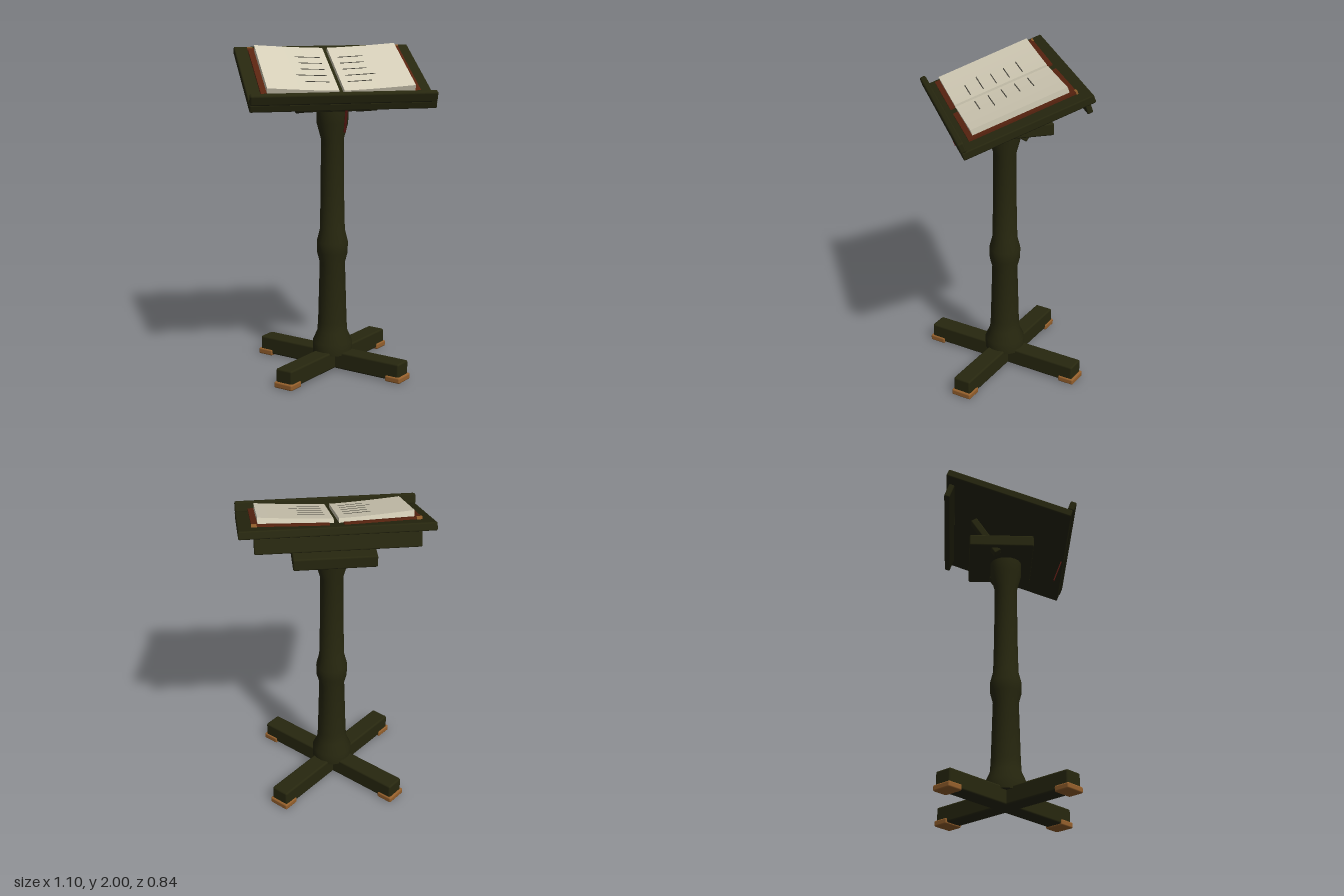
import * as THREE from 'three';
import { toCreasedNormals } from 'three/addons/utils/BufferGeometryUtils.js';
import { RoundedBoxGeometry } from 'three/addons/geometries/RoundedBoxGeometry.js';

const mat = (name, color) => {
  const m = new THREE.MeshStandardMaterial({ color });
  m.name = name;
  return m;
};

export function createModel() {
  const wood = mat('dark green wood', 0x27270f);
  const brass = mat('bronze', 0x95602c);
  const leather = mat('brown leather', 0x5a2410);
  const paper = mat('paper', 0xd6cfb9);
  const ink = mat('ink', 0x4a483f);
  const red = mat('ribbon red', 0x5e1a14);

  const model = new THREE.Group();
  const add = (parent, name, geometry, material, x = 0, y = 0, z = 0) => {
    const mesh = new THREE.Mesh(geometry, material);
    mesh.name = name;
    mesh.position.set(x, y, z);
    parent.add(mesh);
    return mesh;
  };
  const box = (w, h, d, r = 0.008) => new RoundedBoxGeometry(w, h, d, 2, r);

  // Diagonal cross base with foot caps
  const base = new THREE.Group();
  base.name = 'crossBase';
  base.rotation.y = Math.PI / 4;
  model.add(base);
  add(base, 'baseBarA', box(1.04, 0.11, 0.116, 0.012), wood, 0, 0.065, 0);
  add(base, 'baseBarB', box(0.116, 0.11, 1.04, 0.012), wood, 0, 0.065, 0);
  for (let i = 0; i < 4; i++) {
    const a = i * Math.PI / 2;
    const cap = add(base, 'footCap', box(0.105, 0.038, 0.132, 0.01), brass,
      0.48 * Math.cos(a), 0.019, 0.48 * Math.sin(a));
    cap.rotation.y = -a;
  }

  // Turned column
  const profile = [
    [0, 0.1], [0.124, 0.1], [0.124, 0.17], [0.095, 0.235], [0.09, 0.3], [0.079, 0.68],
    [0.095, 0.74], [0.097, 0.81], [0.078, 0.885], [0.073, 1.1], [0.07, 1.45],
    [0.097, 1.55], [0.098, 1.64], [0, 1.64],
  ].map(([r, y]) => new THREE.Vector2(r, y));
  add(model, 'column', toCreasedNormals(new THREE.LatheGeometry(profile, 20), 0.6), wood);

  // Head block and the two leaning struts through it
  add(model, 'headBlock', box(0.49, 0.075, 0.4, 0.01), wood, 0, 1.673, -0.035);
  for (const s of [1, -1]) {
    const strut = add(model, 'strut', box(0.056, 0.275, 0.045), wood, s * 0.188, 1.724, -0.134);
    strut.rotation.x = -0.595;
  }

  // Sloping desk: local z runs down the slope, local y is its normal
  const desk = new THREE.Group();
  desk.name = 'desk';
  desk.position.set(0, 1.827, 0);
  desk.rotation.x = 0.349;
  model.add(desk);
  add(desk, 'deskBoard', box(1.104, 0.048, 0.8), wood);
  add(desk, 'frontLip', box(1.104, 0.066, 0.04, 0.012), wood, 0, 0.052, 0.385);
  add(desk, 'backCleat', box(0.936, 0.094, 0.036), wood, 0, -0.067, -0.363);
  add(desk, 'ribbon', new THREE.BoxGeometry(0.014, 0.17, 0.006), red, 0.015, -0.085, 0.387);

  // Curved slab between two height rules, running from x0 to x1 on side s
  const slab = (s, x0, x1, low, high, depth) => {
    const shape = new THREE.Shape();
    const n = 10;
    const at = (i) => x0 + (x1 - x0) * i / n;
    shape.moveTo(s * x0, low(x0));
    for (let i = 1; i <= n; i++) shape.lineTo(s * at(i), low(at(i)));
    for (let i = n; i >= 0; i--) shape.lineTo(s * at(i), high(at(i)));
    const g = new THREE.ExtrudeGeometry(shape, { depth, bevelEnabled: false });
    g.translate(0, 0, -depth / 2);
    return toCreasedNormals(g, 0.5);
  };

  // Open book
  const book = new THREE.Group();
  book.name = 'openBook';
  desk.add(book);
  const coverTop = (x) => 0.033 + 0.014 * x / 0.475;
  const pageTop = (x) => 0.055 + 0.026 * Math.pow(x / 0.44, 1.4);
  const lineEnds = [0.21, 0.2, 0.2, 0.24, 0.2];
  for (const s of [1, -1]) {
    add(book, 'cover', slab(s, 0.04, 0.475, (x) => coverTop(x) - 0.012, coverTop, 0.66), leather);
    add(book, 'pages', slab(s, 0.015, 0.44, (x) => coverTop(x) - 0.004, pageTop, 0.592), paper, 0, 0, 0.002);
    add(book, 'coverCorner', new THREE.BoxGeometry(0.032, 0.018, 0.012), brass, s * 0.461, 0.042, -0.327);
    // Written lines
    lineEnds.forEach((end, i) => {
      add(book, 'writtenLine', slab(s, 0.055, end, (x) => pageTop(x) - 0.002,
        (x) => pageTop(x) + 0.002, 0.006), ink, 0, 0, -0.15 + 0.084 * i);
    });
  }

  return model;
}
